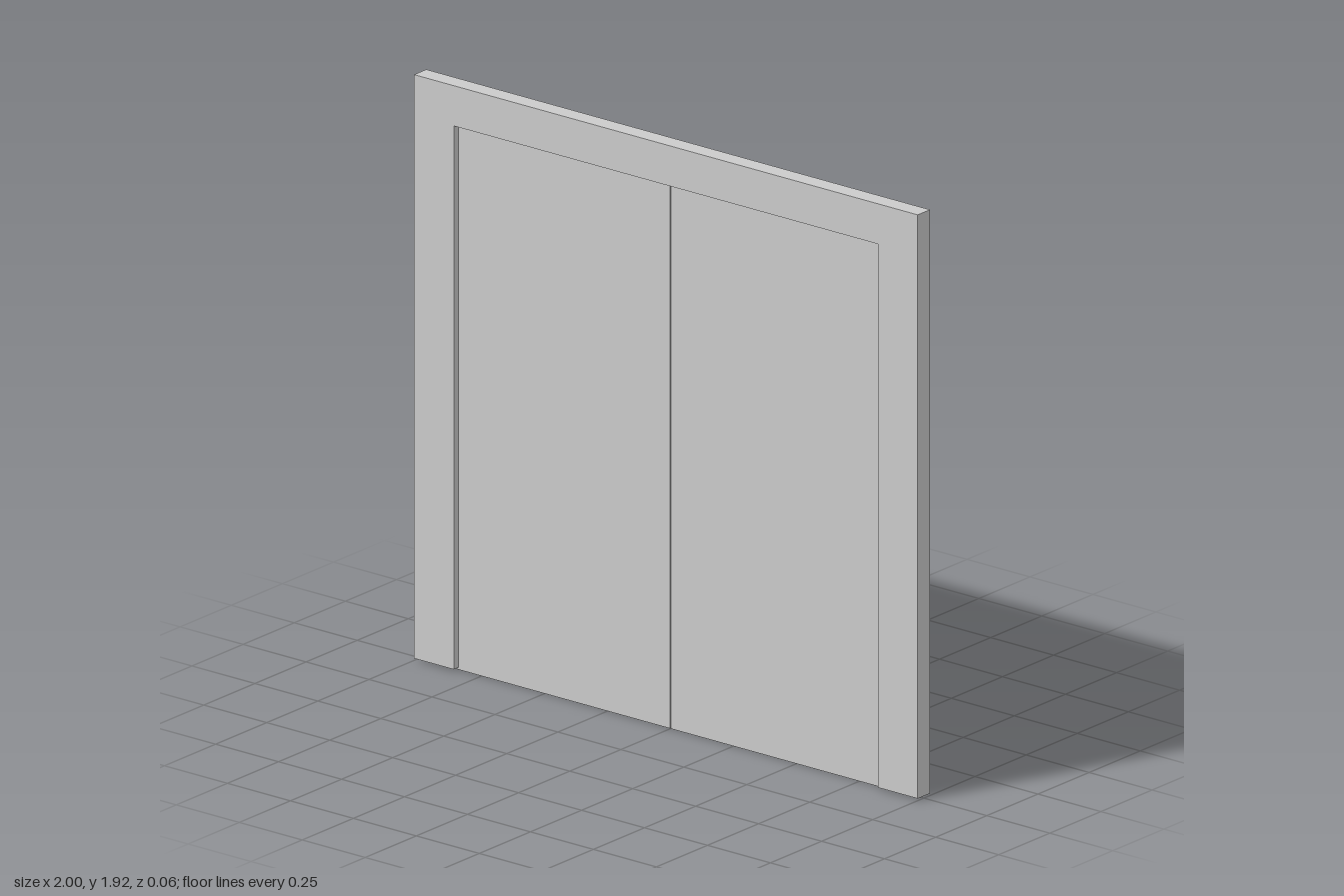
import * as THREE from 'three';

export function createModel() {
  const group = new THREE.Group();
  const material = new THREE.MeshStandardMaterial({ color: 0xcccccc, flatShading: true });

  const top = 1.922, base = 0.007, depth = 0.06;
  const openX = 0.842, openY = 1.79;

  // Door frame: one U-shaped surround, open at the floor
  const outline = new THREE.Shape([
    [-1, base], [-openX, base], [-openX, openY], [openX, openY],
    [openX, base], [1, base], [1, top], [-1, top],
  ].map(([x, y]) => new THREE.Vector2(x, y)));
  const frameGeometry = new THREE.ExtrudeGeometry(outline, { depth, bevelEnabled: false });
  frameGeometry.translate(0, 0, -depth / 2);
  const frame = new THREE.Mesh(frameGeometry, material);
  frame.name = 'doorFrame';
  group.add(frame);

  // Two thin door leaves, set mid-depth with a fine gap between them;
  // their outer and top edges sit slightly inside the frame
  const gap = 0.004, tuck = 0.006, leafDepth = 0.014;
  const leafWidth = openX + tuck - gap / 2;
  const leafHeight = openY + tuck;
  for (const [name, side] of [['leftDoor', 1], ['rightDoor', -1]]) {
    const leaf = new THREE.Mesh(new THREE.BoxGeometry(leafWidth, leafHeight, leafDepth), material);
    leaf.position.set(side * (gap / 2 + leafWidth / 2), leafHeight / 2, 0);
    leaf.name = name;
    group.add(leaf);
  }

  return group;
}
